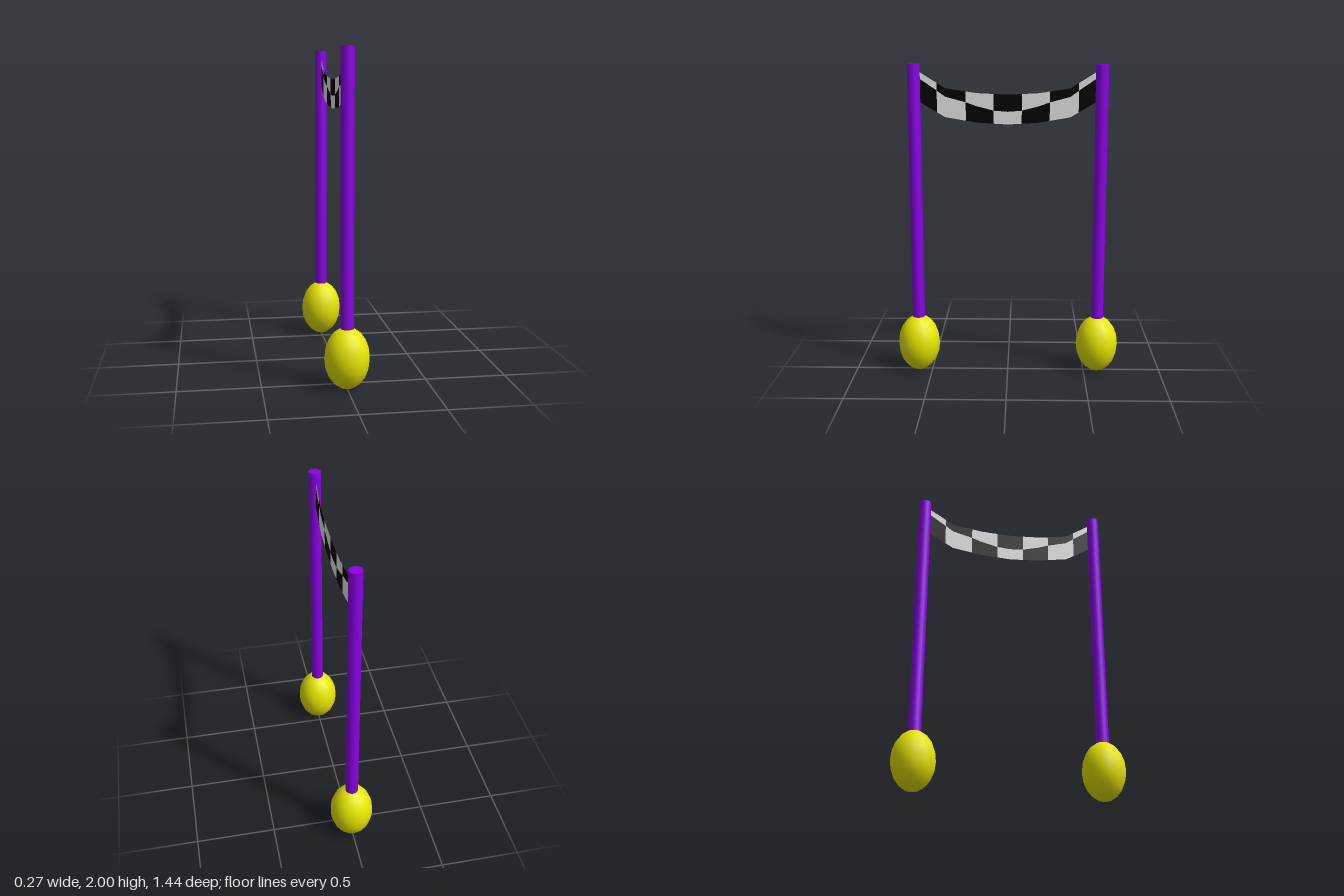
import * as THREE from 'three';

// linear interpolation over a few [z, value] points, mirrored about z = 0
const curve = (pts) => (z) => {
  const a = Math.abs(z);
  let i = 0;
  while (i < pts.length - 2 && a > pts[i + 1][0]) i++;
  const [z0, v0] = pts[i], [z1, v1] = pts[i + 1];
  return v0 + (v1 - v0) * (a - z0) / (z1 - z0);
};

const topEdge = curve([[0, 1.812], [0.195, 1.822], [0.39, 1.852], [0.585, 1.975]]);
const bottomEdge = curve([[0, 1.627], [0.195, 1.639], [0.39, 1.672], [0.585, 1.788]]);
const splitAt = curve([[0, 0.57], [0.0875, 0.56], [0.262, 0.37], [0.442, 0.26], [0.585, 0.21]]);
const middle = (z) => topEdge(z) + (bottomEdge(z) - topEdge(z)) * splitAt(z);

// cloth cell in the plane x = 0, bent at the fold lines of the banner
function cellGeometry(z0, z1, upper, lower) {
  const folds = [-0.39, -0.195, 0, 0.195, 0.39].filter((f) => f > z0 && f < z1);
  const stops = [z0, ...folds, z1];
  const pos = [], idx = [];
  stops.forEach((z, i) => {
    pos.push(0, lower(z), z, 0, upper(z), z);
    if (i) {
      const k = 2 * i;
      idx.push(k - 2, k - 1, k, k, k - 1, k + 1);
    }
  });
  const g = new THREE.BufferGeometry();
  g.setAttribute('position', new THREE.Float32BufferAttribute(pos, 3));
  g.setIndex(idx);
  g.computeVertexNormals();
  return g;
}

export function createModel() {
  const model = new THREE.Group();
  model.name = 'bannerGate';
  const mat = (name, color, side = THREE.FrontSide) => {
    const m = new THREE.MeshStandardMaterial({ color, side });
    m.name = name;
    return m;
  };
  const purple = mat('purple', 0x9900ff);
  const yellow = mat('yellow', 0xffff00);
  const white = mat('white', 0xffffff, THREE.DoubleSide);
  const black = mat('black', 0x000000, THREE.DoubleSide);

  // two poles, each standing in an egg-shaped float
  const poleGeo = new THREE.CylinderGeometry(0.04, 0.04, 1.8, 20);
  const floatGeo = new THREE.SphereGeometry(0.136, 16, 10).scale(1, 0.187 / 0.136, 1);
  for (const [side, z] of [['front', 0.585], ['back', -0.585]]) {
    const pole = new THREE.Mesh(poleGeo, purple);
    pole.name = side + 'Pole';
    pole.position.set(0, 1.1, z);
    const base = new THREE.Mesh(floatGeo, yellow);
    base.name = side + 'Float';
    base.position.set(0, 0.187, z);
    model.add(pole, base);
  }

  // sagging checkered banner: seven columns, two rows
  const banner = new THREE.Group();
  banner.name = 'banner';
  const columns = [-0.585, -0.442, -0.262, -0.0875, 0.0875, 0.262, 0.442, 0.585];
  for (let i = 0; i < 7; i++) {
    const rows = [[topEdge, middle, 'upper'], [middle, bottomEdge, 'lower']];
    rows.forEach(([upper, lower, row], r) => {
      const isBlack = (i + r) % 2 === 1;
      const cell = new THREE.Mesh(
        cellGeometry(columns[i], columns[i + 1], upper, lower), isBlack ? black : white);
      cell.name = row + 'Check' + (i + 1);
      banner.add(cell);
    });
  }
  model.add(banner);
  return model;
}
